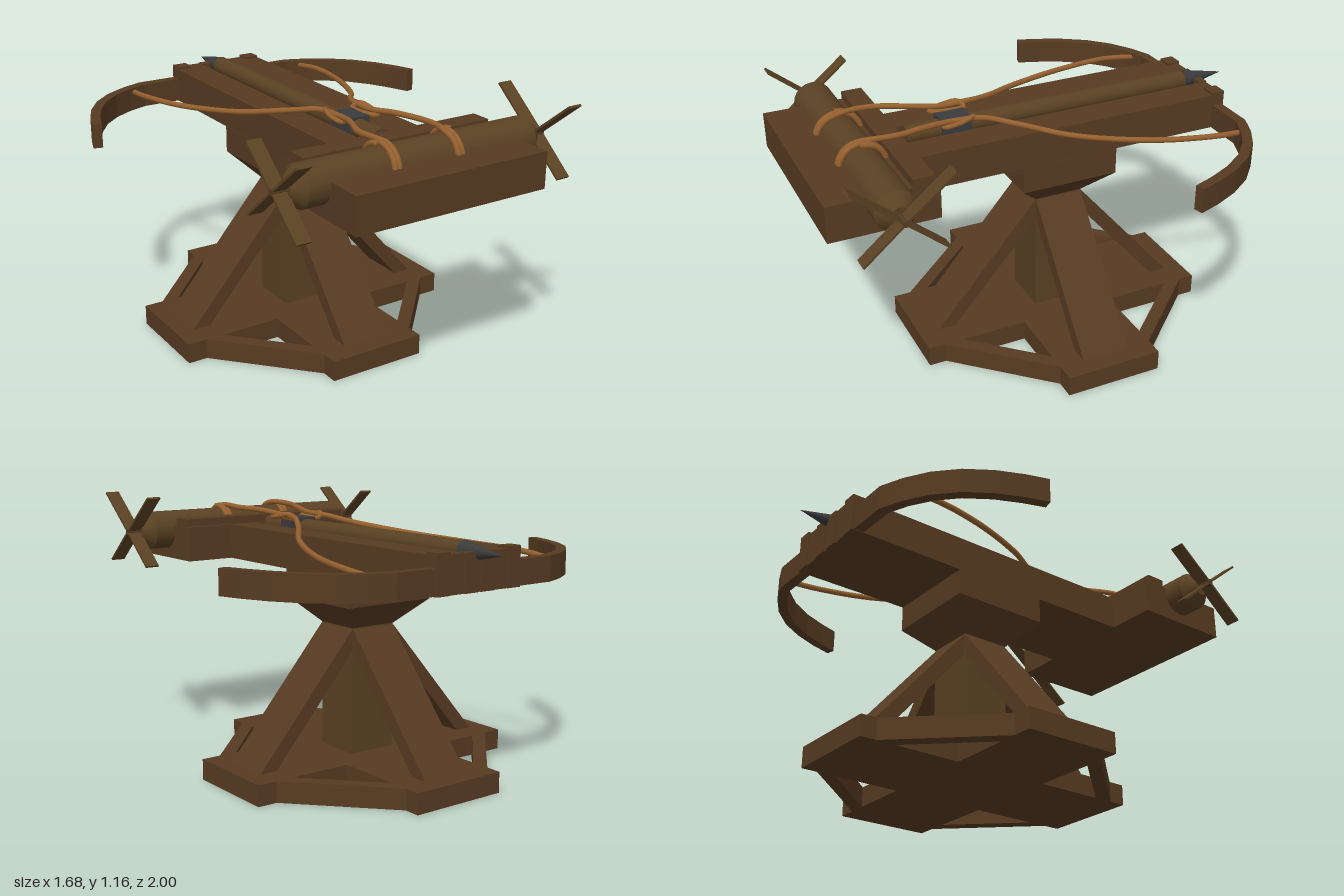
import * as THREE from 'three';

const mat = (name, color) => {
  const m = new THREE.MeshStandardMaterial({ color });
  m.name = name;
  return m;
};

export function createModel() {
  const wood = mat('dark timber', 0x573b22);
  const pole = mat('turned timber', 0x5a4123);
  const rope = mat('rope', 0x95602f);
  const iron = mat('iron', 0x3a3b3d);
  const root = new THREE.Group();
  const CZ = -0.125; // centre of the stand

  const add = (name, geo, material, parent = root) => {
    const m = new THREE.Mesh(geo, material);
    m.name = name;
    parent.add(m);
    return m;
  };
  // box from min and max corners
  const box = (name, x0, x1, y0, y1, z0, z1, material = wood, parent = root) => {
    const m = add(name, new THREE.BoxGeometry(x1 - x0, y1 - y0, z1 - z0), material, parent);
    m.position.set((x0 + x1) / 2, (y0 + y1) / 2, (z0 + z1) / 2);
    return m;
  };
  const extrude = (pts, depth) => new THREE.ExtrudeGeometry(
    new THREE.Shape(pts.map(p => new THREE.Vector2(p[0], p[1]))), { depth, bevelEnabled: false });

  // cross-shaped base
  box('baseBeamAcross', -0.66, 0.66, 0, 0.09, CZ - 0.215, CZ + 0.215);
  box('baseBeamBackArm', -0.22, 0.22, 0, 0.09, -0.79, CZ - 0.215);
  box('baseBeamFrontArm', -0.22, 0.22, 0, 0.09, CZ + 0.215, 0.545);

  // diagonal ties between the ends of the cross
  for (const sx of [-1, 1]) for (const sz of [-1, 1]) {
    const pts = [[0.575, 0.215], [0.22, 0.595], [0.22, 0.51], [0.495, 0.215]];
    const g = extrude(pts.map(([x, z]) => [x * sx, z * sz]), 0.09);
    g.rotateX(Math.PI / 2);
    add('baseTie', g, wood).position.set(0, 0.09, CZ);
  }

  // post with four sloping braces
  box('post', -0.11, 0.11, 0.09, 0.64, CZ - 0.108, CZ + 0.108, pole);
  for (let i = 0; i < 4; i++) {
    const g = extrude([[0.5, 0.09], [0.58, 0.09], [0.11, 0.635], [0.11, 0.54]], 0.216);
    g.translate(0, 0, -0.108);
    const m = add('brace', g, wood);
    m.position.z = CZ;
    m.rotation.y = i * Math.PI / 2;
  }

  // flared head
  const flare = new THREE.CylinderGeometry(0.22 * Math.SQRT2, 0.11 * Math.SQRT2, 0.11, 4).toNonIndexed();
  flare.rotateY(Math.PI / 4);
  flare.computeVertexNormals();
  add('flaredHead', flare, wood).position.set(0, 0.695, CZ);
  box('headBlock', -0.22, 0.22, 0.75, 0.867, CZ - 0.218, CZ + 0.218);

  // grooved stock
  const stock = extrude([[-0.218, 0.866], [0.218, 0.866], [0.218, 1.02], [0.077, 1.02], [0.077, 0.975],
    [-0.077, 0.975], [-0.077, 1.02], [-0.218, 1.02]], 1.42);
  add('stock', stock, wood).position.z = -0.87;

  // winch bed
  box('winchBed', -0.44, 0.44, 0.866, 1.02, 0.545, 1.0);
  box('winchBedRail', -0.44, 0.44, 1.02, 1.055, 0.565, 0.655);

  // bow limbs, curved back towards the winch
  const outer = [[0.4, -0.865], [0.5, -0.825], [0.6, -0.765], [0.69, -0.68], [0.76, -0.575], [0.81, -0.465], [0.842, -0.37]];
  const inner = [[0.802, -0.36], [0.77, -0.45], [0.722, -0.555], [0.655, -0.655], [0.575, -0.73], [0.485, -0.785], [0.395, -0.82]];
  const half = [...outer, ...inner];
  const flip = p => [-p[0], p[1]];
  const bowPts = [...half, ...half.slice().reverse().map(flip)];
  const bow = extrude(bowPts, 0.105);
  bow.rotateX(Math.PI / 2);
  add('bow', bow, wood).position.y = 0.973;
  for (const s of [-1, 1]) {
    const b = box('bowBracket', -0.033, 0.033, 0.866, 1.03, -0.876, -0.815);
    b.position.x = s * 0.183;
    const c = box('bowCheek', -0.035, 0.035, 0.866, 1.022, -0.876, -0.84);
    c.position.x = s * 0.042;
  }

  // bolt lying in the groove
  const bolt = new THREE.Group();
  bolt.name = 'bolt';
  root.add(bolt);
  const shaft = new THREE.CylinderGeometry(0.042, 0.042, 1.32, 16);
  shaft.rotateX(Math.PI / 2);
  add('boltShaft', shaft, pole, bolt).position.set(0, 1.015, -0.13);
  const tip = new THREE.ConeGeometry(0.043, 0.21, 16);
  tip.rotateX(-Math.PI / 2);
  add('boltTip', tip, iron, bolt).position.set(0, 1.015, -0.895);
  box('stringCatch', -0.05, 0.05, 0.98, 1.064, 0.25, 0.38, iron);

  // winch drum with tapered ends
  const WY = 0.995, WZ = 0.757;
  const drum = new THREE.CylinderGeometry(0.086, 0.086, 1.06, 20);
  drum.rotateZ(Math.PI / 2);
  add('winchDrum', drum, pole).position.set(0, WY, WZ);
  for (const s of [-1, 1]) {
    const end = new THREE.CylinderGeometry(0.04, 0.086, 0.05, 20);
    end.rotateZ(-s * Math.PI / 2);
    add('drumEnd', end, pole).position.set(s * 0.555, WY, WZ);
    const hub = new THREE.CylinderGeometry(0.014, 0.014, 0.065, 8);
    hub.rotateZ(Math.PI / 2);
    add('handleHub', hub, wood).position.set(s * 0.607, WY, WZ);

    // four thin handle blades per side
    for (let i = 0; i < 4; i++) {
      const length = s > 0 && (i === 0 || i === 1) ? 0.262 : 0.222;
      const g = new THREE.BoxGeometry(0.063, length, 0.009);
      g.translate(0, length / 2, 0);
      const blade = add('handleBlade', g, pole);
      blade.position.set(s * 0.607, WY, WZ);
      blade.rotation.x = [0.89, -0.89, -2.27, 2.27][i];
    }
  }

  // ropes from the limbs, past the catch, to coils on the drum
  const R = 0.0125;
  for (const s of [-1, 1]) {
    const end = s < 0 ? 0.157 : 0.137;
    const pts = [
      [0.455, 0.95, -0.81], [0.462, 0.965, -0.66], [0.41, 0.98, -0.4], [0.285, 1.008, -0.1],
      [0.15, 1.045, 0.1], [0.09, 1.07, 0.22], [0.08, 1.076, 0.35], [0.108, 1.088, 0.47],
      [end, 1.092, 0.6], [end, 1.096, 0.7],
    ];
    // helix round the drum
    for (let i = 0; i <= 24; i++) {
      const a = 0.1 + i * Math.PI / 6;
      pts.push([end - 0.012 + 0.036 * i / 24, WY + 0.097 * Math.cos(a), WZ + 0.097 * Math.sin(a)]);
    }
    const curve = new THREE.CatmullRomCurve3(pts.map(p => new THREE.Vector3(p[0] * s, p[1], p[2])));
    add('rope', new THREE.TubeGeometry(curve, 160, R, 8), rope);

    // short loop beside the catch
    const loop = new THREE.CatmullRomCurve3([
      [0.062, 1.06, 0.24], [0.085, 1.08, 0.26], [0.1, 1.07, 0.32], [0.09, 1.06, 0.385], [0.066, 1.062, 0.38],
    ].map(p => new THREE.Vector3(p[0] * s, p[1], p[2])), true);
    add('catchLoop', new THREE.TubeGeometry(loop, 40, 0.011, 8, true), rope);
  }
  return root;
}
